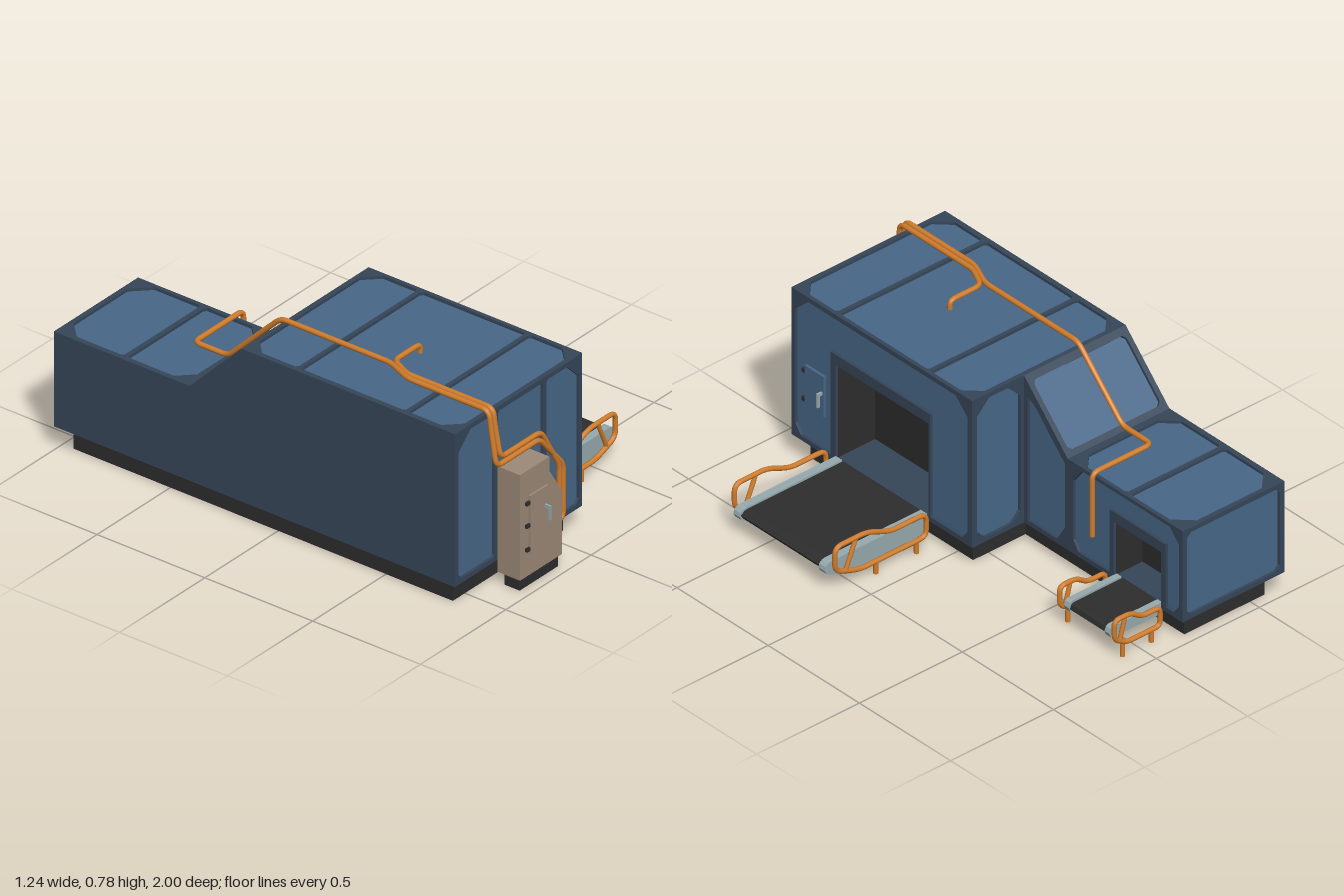
import * as THREE from 'three';

const mat = (name, color, side = THREE.FrontSide) => {
  const m = new THREE.MeshStandardMaterial({ color, side });
  m.name = name;
  return m;
};

export function createModel() {
  const model = new THREE.Group();
  const frameMat = mat('dark blue frame', 0x364658);
  const panelMat = mat('blue panel', 0x476888);
  const darkMat = mat('dark rubber', 0x2d2d2d);
  const tanMat = mat('tan cabinet', 0x9d8a78);
  const pipeMat = mat('orange pipe', 0xd07c2b, THREE.DoubleSide);
  const metalMat = mat('pale metal', 0x97aaae);

  const add = (name, geo, material, parent = model) => {
    const m = new THREE.Mesh(geo, material);
    m.name = name;
    parent.add(m);
    return m;
  };
  const shapeOf = pts => new THREE.Shape(pts.map(p => new THREE.Vector2(...p)));
  // box given by its limits
  const box = (name, x0, x1, y0, y1, z0, z1, material) =>
    add(name, new THREE.BoxGeometry(x1 - x0, y1 - y0, z1 - z0), material)
      .position.set((x0 + x1) / 2, (y0 + y1) / 2, (z0 + z1) / 2);
  // profile in x/y pushed from z0 to z1
  const slab = (name, pts, z0, z1, material) =>
    add(name, new THREE.ExtrudeGeometry(shapeOf(pts), { depth: z1 - z0, bevelEnabled: false }), material)
      .position.z = z0;
  const rect = (u0, v0, u1, v1) => [[u0, v0], [u1, v0], [u1, v1], [u0, v1]];
  // rectangle with cut corners: bottom left, bottom right, top right, top left
  const cut = (u0, v0, u1, v1, a, b, c, d) => [
    [u0, v0 + a], [u0 + a, v0], [u1 - b, v0], [u1, v0 + b],
    [u1, v1 - c], [u1 - c, v1], [u0 + d, v1], [u0, v1 - d]];

  // wall: a thick frame with recessed panels and open doorways
  const T = 0.012;
  const V = (x, y, z) => new THREE.Vector3(x, y, z);
  function wall(name, u, v, origin, outline, panels = [], doors = []) {
    const g = new THREE.Group();
    g.name = name;
    g.applyMatrix4(new THREE.Matrix4().makeBasis(u, v, u.clone().cross(v)).setPosition(origin));
    const s = shapeOf(outline);
    [...panels, ...doors].forEach(p => s.holes.push(new THREE.Path(p.map(q => new THREE.Vector2(...q)))));
    const geo = new THREE.ExtrudeGeometry(s, { depth: T, bevelEnabled: false });
    geo.translate(0, 0, -T);
    add(name + 'Frame', geo, frameMat, g);
    panels.forEach(p => {
      add(name + 'Panel', new THREE.ShapeGeometry(shapeOf(p)), panelMat, g).position.z = -T;
    });
    model.add(g);
  }
  const X = V(1, 0, 0), Y = V(0, 1, 0), Z = V(0, 0, 1);
  const nX = V(-1, 0, 0), nZ = V(0, 0, -1);
  // housing heights (main, rear) and x limits (left, main right, rear right)
  const H = 0.745, L = 0.5, A = -0.622, B = 0.124, C = -0.128;

  // housing walls
  wall('frontWall', X, Y, V(0, 0, 0.86), rect(A, 0.1, B, H), [
    cut(-0.6, 0.12, -0.39, 0.725, 0.02, 0.01, 0.01, 0.07),
    cut(-0.37, 0.12, -0.105, 0.725, 0.01, 0.01, 0.01, 0.01),
    cut(-0.085, 0.12, 0.107, 0.725, 0.01, 0.02, 0.07, 0.01)]);
  wall('mainSide', nZ, Y, V(B, 0, 0), rect(-0.86, 0.1, 0.13, H), [[
    [-0.84, 0.16], [-0.81, 0.12], [-0.645, 0.12], [-0.645, 0.57], [-0.1, 0.57], [-0.1, 0.12],
    [0.075, 0.12], [0.105, 0.16], [0.105, 0.66], [0.04, 0.725], [-0.77, 0.725], [-0.84, 0.66]]],
    [rect(-0.62, 0.105, -0.11, 0.525)]);
  wall('rearSide', nZ, Y, V(C, 0, 0),
    [[0.118, 0.1], [1, 0.1], [1, L], [0.37, L], [0.13, H], [0.118, H]], [
      [[0.15, 0.12], [0.31, 0.12], [0.355, 0.19], [0.355, 0.47], [0.19, 0.64], [0.15, 0.66]],
      [[0.4, 0.16], [0.43, 0.12], [0.6, 0.12], [0.6, 0.395], [0.905, 0.395], [0.905, 0.12],
        [0.95, 0.12], [0.98, 0.16], [0.98, 0.43], [0.93, 0.485], [0.45, 0.485], [0.4, 0.42]]],
    [rect(0.62, 0.105, 0.88, 0.35)]);
  wall('stepWall', nX, Y, V(0, 0, -0.13), rect(-B, 0.1, -C, H),
    [cut(-0.1, 0.12, 0.11, 0.725, 0.04, 0.04, 0.06, 0.06)]);
  wall('backWall', nX, Y, V(0, 0, -1), rect(-C, 0.1, -A, L),
    [cut(0.15, 0.12, 0.6, 0.48, 0.02, 0.02, 0.02, 0.02)]);
  wall('plainSide', Z, Y, V(A, 0, 0),
    [[-1, 0.1], [0.86, 0.1], [0.86, H], [-0.13, H], [-0.37, L], [-1, L]]);
  wall('mainRoof', X, nZ, V(0, H, 0), rect(A, -0.86, B, 0.13), [
    cut(-0.6, -0.84, 0.107, -0.63, 0.06, 0.06, 0.01, 0.01),
    cut(-0.6, -0.612, 0.107, -0.13, 0.01, 0.01, 0.01, 0.01),
    cut(-0.6, -0.112, 0.107, 0.11, 0.01, 0.01, 0.06, 0.06)]);
  wall('rearRoof', X, nZ, V(0, L, 0), rect(A, 0.37, C, 1), [
    cut(-0.6, 0.4, -0.145, 0.675, 0.06, 0.06, 0.01, 0.01),
    cut(-0.6, 0.695, -0.145, 0.98, 0.01, 0.01, 0.07, 0.07)]);
  const slope = V(0, H - L, 0.24), slopeLen = slope.length();
  wall('slopedRoof', nX, slope.normalize(), V(0, L, -0.37), rect(-C, 0, -A, slopeLen),
    [cut(0.15, 0.025, 0.6, slopeLen - 0.03, 0.015, 0.015, 0.015, 0.015)]);
  wall('floor', X, Z, V(0, 0.1, 0),
    [[A, -1], [C, -1], [C, -0.13], [B, -0.13], [B, 0.86], [A, 0.86]]);

  // plinths
  box('mainPlinth', -0.57, 0.075, 0, 0.1, -0.08, 0.81, darkMat);
  box('rearPlinth', -0.57, -0.18, 0, 0.1, -0.95, -0.08, darkMat);

  // doorway interiors: inward-facing boxes without the outer face
  function alcove(name, x0, x1, y0, y1, z0, z1) {
    let g = new THREE.BoxGeometry(x1 - x0, y1 - y0, z1 - z0);
    g.setIndex([...g.index.array].filter((_, i) => i < 6 || i > 11));
    g.scale(-1, 1, 1);
    g = g.toNonIndexed();
    g.computeVertexNormals();
    add(name, g, darkMat).position.set((x0 + x1) / 2, (y0 + y1) / 2, (z0 + z1) / 2);
  }
  alcove('mainDoorway', -0.07, B - T, 0.105, 0.525, 0.11, 0.62);
  alcove('rearDoorway', -0.27, C - T, 0.105, 0.35, -0.88, -0.62);

  // pipe along straight runs with rounded corners
  function pipe(name, pts, r = 0.0105, bend = 0.03, closed = false) {
    const P = pts.map(p => V(...p)), n = P.length, path = new THREE.CurvePath();
    const corner = i => {
      const p = P[i], a = P[(i + n - 1) % n], b = P[(i + 1) % n];
      const toward = q => p.clone().lerp(q, Math.min(0.45, bend / p.distanceTo(q)));
      return [toward(a), p, toward(b)];
    };
    let from = closed ? corner(0)[2] : P[0];
    for (let i = 1; i < (closed ? n + 1 : n - 1); i++) {
      const [a, p, b] = corner(i % n);
      path.add(new THREE.LineCurve3(from, a));
      path.add(new THREE.QuadraticBezierCurve3(a, p, b));
      from = b;
    }
    if (!closed) path.add(new THREE.LineCurve3(from, P[n - 1]));
    const steps = Math.max(8, Math.ceil(path.getLength() / 0.011));
    add(name, new THREE.TubeGeometry(path, steps, r, 10, closed), pipeMat);
  }

  // conveyors: side rails with a belt between them
  function conveyor(name, profile, z0, z1, rail) {
    slab(name + 'Rail', profile, z0, z0 + rail, metalMat);
    slab(name + 'Rail', profile, z1 - rail, z1, metalMat);
    const inner = profile.map(([x, y]) => [x - 0.006, y + (y > 0.1 ? -0.008 : 0.006)]);
    slab(name + 'Belt', inner, z0 + rail, z1 - rail, darkMat);
  }
  conveyor('mainConveyor', [[B, 0.045], [0.132, 0.035], [0.147, 0.03], [0.5, 0.03], [0.597, 0.07],
    [0.613, 0.081], [0.622, 0.097], [0.617, 0.113], [0.604, 0.123], [0.588, 0.126], [B, 0.126]],
  0.117, 0.618, 0.035);
  conveyor('rearConveyor', [[-0.135, 0.078], [0.102, 0.078], [0.115, 0.084], [0.122, 0.102],
    [0.115, 0.12], [0.102, 0.126], [-0.135, 0.126]], -0.88, -0.63, 0.027);

  // guard rails: bent loop, one strut and two legs
  function guard(name, z, x0, sx, sy, legs) {
    const m = ([x, y]) => [x0 + (x - 0.145) * sx, 0.05 + (y - 0.05) * sy, z];
    pipe(name + 'Loop', [[0.3, 0.052], [0.15, 0.052], [0.15, 0.152], [0.325, 0.152], [0.44, 0.2],
      [0.595, 0.2], [0.595, 0.095], [0.475, 0.052]].map(m), 0.01, 0.035 * Math.sqrt(sx), true);
    pipe(name + 'Strut', [[0.49, 0.2], [0.543, 0.078]].map(m), 0.009);
    legs.forEach(x => pipe(name + 'Leg', [[x, 0, z], [x, 0.05, z]], 0.01));
  }
  for (const z of [0.092, 0.642]) guard('mainGuard', z, 0.145, 1, 1, [0.198, 0.395]);
  for (const z of [-0.905, -0.605]) guard('rearGuard', z, -0.105, 0.5, 0.8, [-0.06, 0.08]);

  // long pipe over the roof to the rear side, and a shorter one into the roof
  pipe('longPipe', [[-0.14, 0.152, 0.913], [-0.054, 0.152, 0.913], [-0.054, 0.38, 0.913],
    [-0.195, 0.547, 0.913], [-0.446, 0.547, 0.913], [-0.446, 0.7, 0.888], [-0.446, 0.77, 0.88],
    [-0.446, 0.77, 0.5], [-0.396, 0.77, 0.385], [-0.396, 0.77, -0.125], [-0.396, 0.525, -0.37],
    [-0.396, 0.525, -0.527], [-0.108, 0.525, -0.527], [-0.108, 0.25, -0.527]]);
  pipe('shortPipe', [[-0.14, 0.2, 0.913], [-0.077, 0.2, 0.913], [-0.077, 0.385, 0.913],
    [-0.185, 0.574, 0.913], [-0.422, 0.574, 0.913], [-0.422, 0.7, 0.888], [-0.422, 0.77, 0.88],
    [-0.422, 0.77, 0.48], [-0.375, 0.77, 0.385], [-0.225, 0.77, 0.385], [-0.225, 0.735, 0.385]]);

  // cabinet with door, hinges and handle
  slab('cabinet', [[-0.372, 0.05], [-0.125, 0.05], [-0.125, 0.315], [-0.2, 0.435], [-0.2, 0.495],
    [-0.372, 0.495]], 0.86, 0.965, tanMat);
  box('cabinetFoot', -0.362, -0.138, 0, 0.05, 0.885, 0.955, darkMat);
  box('cabinetDoor', -0.322, -0.218, 0.142, 0.387, 0.965, 0.973, tanMat);
  for (const y of [0.165, 0.265, 0.36]) box('cabinetHinge', -0.343, -0.323, y - 0.007, y + 0.007, 0.965, 0.975, darkMat);
  box('cabinetHandle', -0.239, -0.231, 0.255, 0.315, 0.99, 1, metalMat);
  box('cabinetHandleStem', -0.239, -0.231, 0.3, 0.315, 0.97, 0.99, metalMat);

  // hatch on the main side
  box('sideHatch', 0.105, 0.123, 0.26, 0.437, 0.685, 0.79, panelMat);
  for (const y of [0.285, 0.41]) box('hatchHinge', 0.108, 0.124, y - 0.008, y + 0.008, 0.79, 0.806, darkMat);
  box('hatchHandle', 0.136, 0.147, 0.308, 0.368, 0.691, 0.7, metalMat);
  box('hatchHandleStem', 0.118, 0.136, 0.355, 0.368, 0.691, 0.7, metalMat);

  return model;
}
